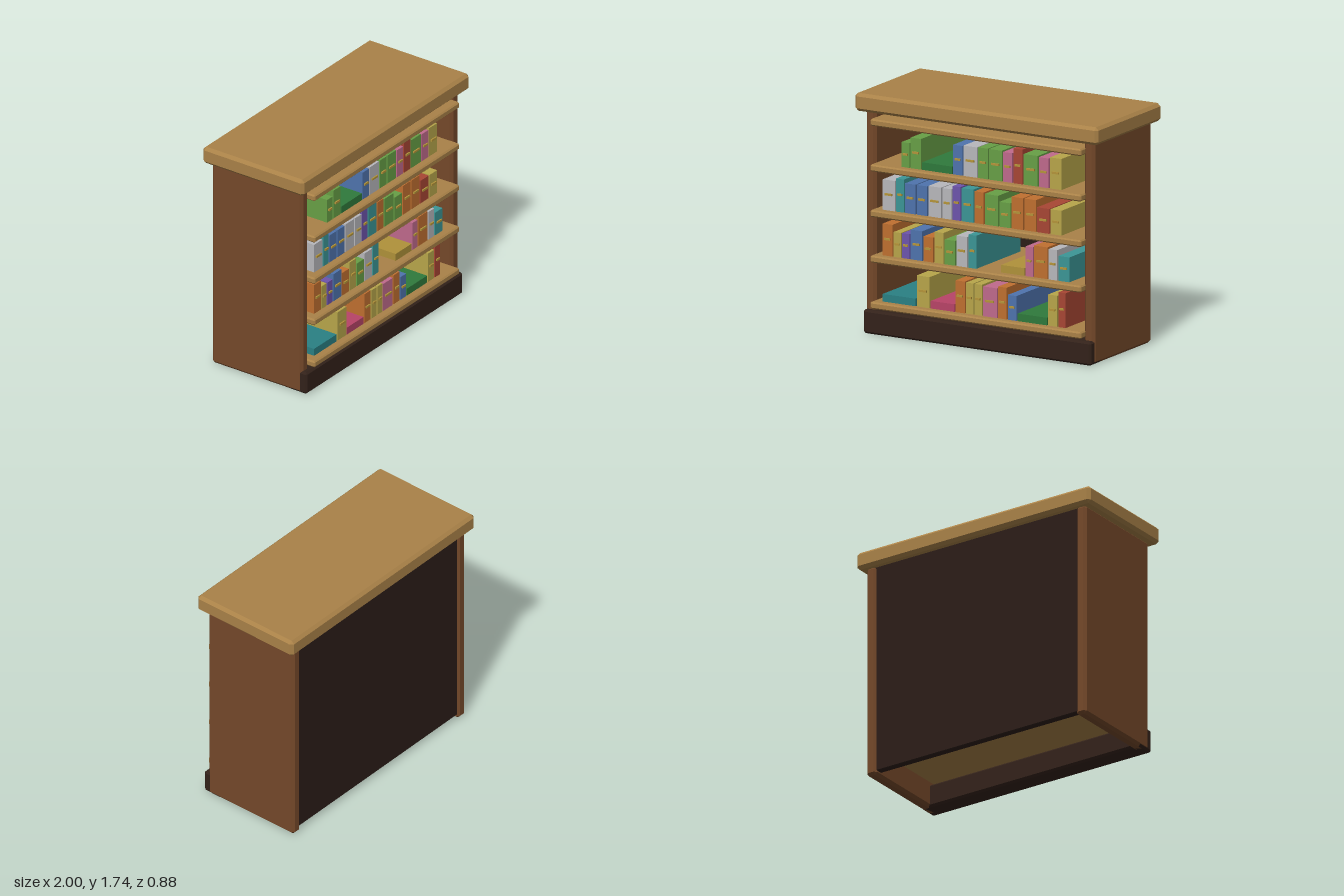
import * as THREE from 'three';
import { ConvexGeometry } from 'three/addons/geometries/ConvexGeometry.js';

const mat = (color) => new THREE.MeshStandardMaterial({ color });
const oak = mat(0xaa8248), walnut = mat(0x75492a), dark = mat(0x33221a), backing = mat(0x2c1d18), gold = mat(0xb5953a);

// Books of one cover share a height; the lowest ones lie flat
const FLAT = 0.055, SHORT = 0.18;
const cover = (color, height) => ({ material: mat(color), height });
const covers = {
  green: cover(0x68a046, .222), blue: cover(0x4f74ae, .215), white: cover(0xb8b8bc, .22),
  pink: cover(0xc06a8c, .215), red: cover(0xa84634, .252), yellow: cover(0xb8a64a, .225),
  teal: cover(0x3c9696, .24), purple: cover(0x6e54ac, .245), orange: cover(0xc07030, .23),
  forest: cover(0x2f7a3c, FLAT), rose: cover(0xb84468, FLAT), ochre: cover(0xb0923a, FLAT), sea: cover(0x2a8084, FLAT),
};

// Each shelf from left to right, bottom shelf first: cover and thickness
const rows = [
  [['sea', .27], ['yellow', .105], ['rose', .195], ['orange', .075], ['yellow', .06], ['yellow', .06],
    ['pink', .115], ['orange', .07], ['short blue', .07], ['forest', .24], ['yellow', .075], ['red', .06]],
  [['orange', .08], ['short yellow', .06], ['short purple', .06], ['blue', .095], ['short orange', .08],
    ['yellow', .075], ['short green', .085], ['white', .09], ['teal', .065], ['gap', .185], ['ochre', .19],
    ['pink', .06], ['orange', .11], ['white', .07], ['short teal', .09]],
  [['white', .1], ['teal', .065], ['blue', .085], ['blue', .085], ['white', .105], ['white', .075],
    ['purple', .065], ['teal', .095], ['orange', .075], ['green', .11], ['short green', .09], ['orange', .095],
    ['orange', .095], ['short red', .1], ['short yellow', .09]],
  [['gap', .145], ['short green', .065], ['green', .085], ['forest', .245], ['blue', .075], ['white', .11],
    ['green', .08], ['green', .105], ['pink', .075], ['red', .075], ['green', .115], ['pink', .08], ['yellow', .095]],
];

// Box with every edge chamfered by b, given its min and max corners
function chamferBox([x0, y0, z0], [x1, y1, z1], b) {
  const points = [];
  for (const [x, dx] of [[x0, b], [x1, -b]])
    for (const [y, dy] of [[y0, b], [y1, -b]])
      for (const [z, dz] of [[z0, b], [z1, -b]])
        points.push(
          new THREE.Vector3(x, y + dy, z + dz),
          new THREE.Vector3(x + dx, y, z + dz),
          new THREE.Vector3(x + dx, y + dy, z));
  return new ConvexGeometry(points);
}

function add(parent, name, geometry, material) {
  const mesh = new THREE.Mesh(geometry, material);
  mesh.name = name;
  parent.add(mesh);
  return mesh;
}

// Row of books packed side by side, with a small plate on each upright spine
function bookRow(row) {
  const books = new THREE.Group();
  const front = .388, depth = .6, spacing = .01;
  let left = -.795;
  for (const [label, width] of row) {
    const x = left + width / 2;
    left += width + spacing;
    if (label === 'gap') continue;
    const { material, height: fullHeight } = covers[label.replace('short ', '')];
    const height = label.startsWith('short') ? SHORT : fullHeight;
    add(books, 'book', new THREE.BoxGeometry(width, height, depth), material)
      .position.set(x, height / 2, front - depth / 2);
    if (height > FLAT)
      add(books, 'spinePlate', new THREE.BoxGeometry(width * .6, .015, .02), gold)
        .position.set(x, height * .53, front);
  }
  return books;
}

export function createModel() {
  const model = new THREE.Group();
  model.name = 'bookcase';

  // Carcass
  add(model, 'topSlab', chamferBox([-1, 1.605, -.44], [1, 1.735, .44], .022), oak);
  add(model, 'leftPanel', chamferBox([.855, 0, -.4], [.94, 1.615, .385], .02), walnut);
  add(model, 'rightPanel', chamferBox([-.94, 0, -.4], [-.855, 1.615, .385], .02), walnut);
  add(model, 'plinth', chamferBox([-.937, 0, .27], [.937, .172, .425], .015), dark);
  add(model, 'backPanel', chamferBox([-.87, .03, -.385], [.87, 1.61, -.33], .005), backing);

  // Shelves, the top one empty
  const shelfTops = [.24, .575, .905, 1.235, 1.565];
  for (const top of shelfTops)
    add(model, 'shelf', chamferBox([-.867, top - .05, -.35], [.867, top, .445], .01), oak);

  // Books
  rows.forEach((row, i) => {
    const books = bookRow(row);
    books.name = 'bookRow' + (i + 1);
    books.position.y = shelfTops[i];
    model.add(books);
  });
  return model;
}
